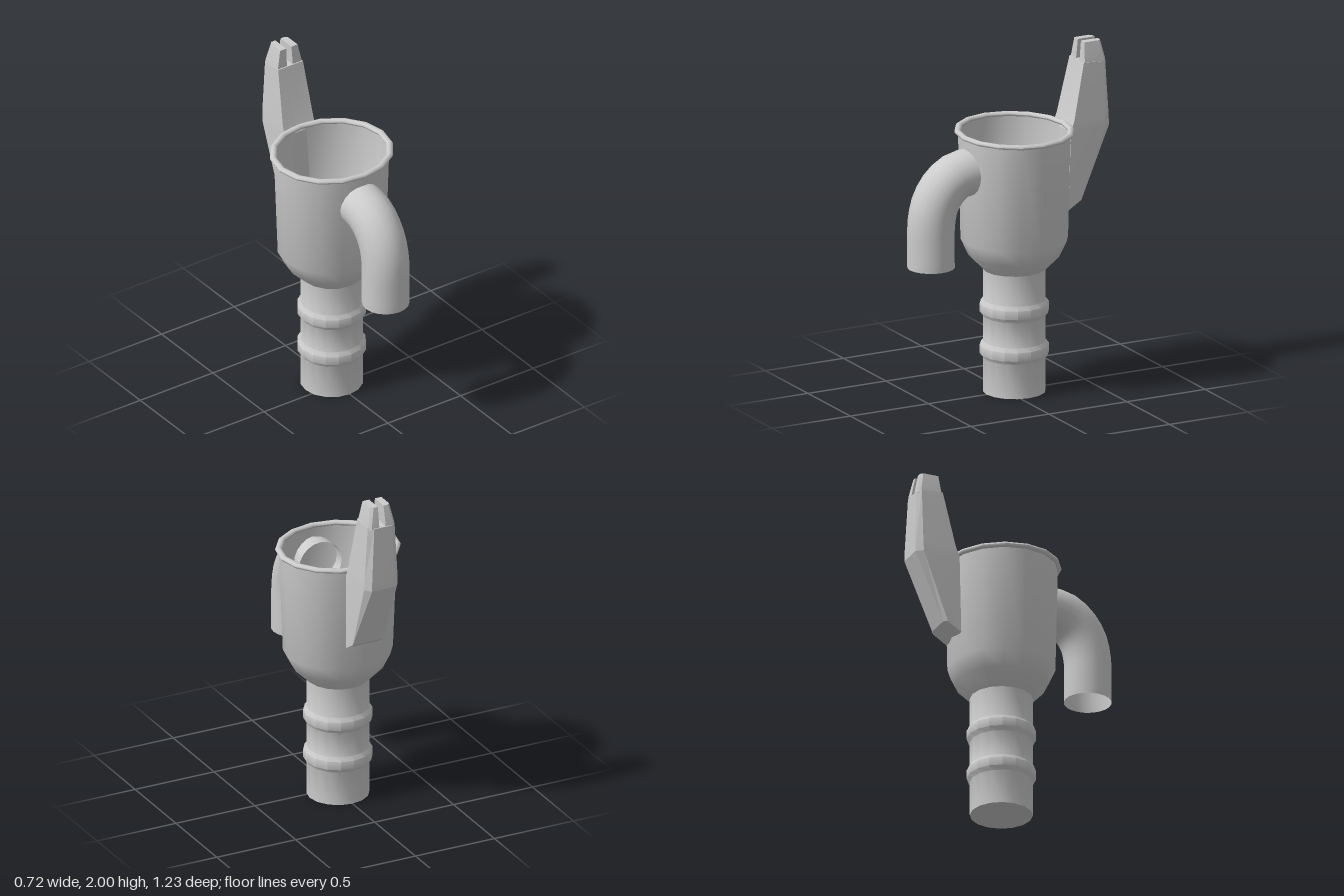
import * as THREE from 'three';
import { toCreasedNormals } from 'three/addons/utils/BufferGeometryUtils.js';

const AXIS_Z = -0.05;
const material = new THREE.MeshStandardMaterial({ color: 0xcccccc, side: THREE.DoubleSide });

function add(group, name, geometry, crease = 0.7) {
  const mesh = new THREE.Mesh(toCreasedNormals(geometry, crease), material);
  mesh.name = name;
  group.add(mesh);
  return mesh;
}

// Closed solid through cross-sections, listed bottom to top, each counter-clockwise seen from above
function loft(rings) {
  const n = rings[0].length;
  const index = [];
  for (let r = 0; r < rings.length - 1; r++) {
    for (let i = 0; i < n; i++) {
      const a = r * n + i, b = r * n + (i + 1) % n;
      index.push(a, b, b + n, a, b + n, a + n);
    }
  }
  const top = (rings.length - 1) * n;
  for (let i = 1; i < n - 1; i++) {
    index.push(0, i + 1, i, top, top + i, top + i + 1);
  }
  const geometry = new THREE.BufferGeometry();
  geometry.setAttribute('position', new THREE.Float32BufferAttribute(rings.flat(2), 3));
  geometry.setIndex(index);
  return geometry;
}

// Turned shape that is round on the stem and slightly oval on the cup
function turned(profile) {
  const geometry = new THREE.LatheGeometry(profile.map(([r, y]) => new THREE.Vector2(r, y)), 16);
  const p = geometry.attributes.position;
  for (let i = 0; i < p.count; i++) {
    const t = THREE.MathUtils.clamp((p.getY(i) - 0.72) / 0.8, 0, 1);
    const squash = 1 - 0.07 * Math.sqrt(t);
    p.setZ(i, p.getZ(i) * squash + AXIS_Z);
  }
  return geometry;
}

// Backplate section: straight front edge, bevelled back edge
function plateRing([yF, zF, yB, zB, w]) {
  const t = 0.85;
  const yM = yF + (yB - yF) * t, zM = zF + (zB - zF) * t;
  return [
    [-w, yF, zF], [w, yF, zF], [w, yM, zM],
    [w - 0.03, yB, zB], [-w + 0.03, yB, zB], [-w, yM, zM],
  ];
}

export function createModel() {
  const model = new THREE.Group();
  model.name = 'spoutedCup';

  // Stem with two raised bands, flaring into the open cup
  const band = (y) => [[0.178, y - 0.048], [0.196, y - 0.025], [0.196, y + 0.025], [0.178, y + 0.048]];
  add(model, 'cupAndStem', turned([
    [0, 0], [0.178, 0], ...band(0.25), ...band(0.495),
    [0.178, 0.72], [0.265, 0.805], [0.313, 0.9], [0.338, 1.53],
  ]));

  // Rolled rim
  const rim = [];
  for (let i = 0; i <= 8; i++) {
    const a = (i / 8) * Math.PI * 2;
    rim.push([0.34 + 0.02 * Math.cos(a), 1.526 + 0.015 * Math.sin(a)]);
  }
  add(model, 'rim', turned(rim), 1);

  // Bent pipe, open at both ends
  const path = new THREE.CatmullRomCurve3([
    [0.8, 0.482], [0.93, 0.482], [1.06, 0.48], [1.17, 0.455], [1.255, 0.4], [1.31, 0.325], [1.325, 0.25], [1.325, 0.17],
  ].map(([y, z]) => new THREE.Vector3(-0.003, y, z)));
  add(model, 'pipe', new THREE.TubeGeometry(path, 14, 0.135, 20, false), 1);

  // Tapered backplate: front y, front z, back y, back z, half width
  add(model, 'backplate', loft([
    [1.04, -0.343, 1.1, -0.44, 0.1],
    [1.5, -0.356, 1.5, -0.615, 0.106],
    [1.56, -0.378, 1.56, -0.614, 0.104],
    [1.89, -0.45, 1.88, -0.602, 0.085],
  ].map(plateRing)), 0.2);

  // Pair of tapered prongs with a slot between them
  for (const side of [-1, 1]) {
    const section = (y, inner, outer, front, back) => {
      const ring = [[inner, y, front], [outer, y, front], [outer, y, back + 0.015], [outer - 0.015, y, back], [inner, y, back]]
        .map(([x, yy, z]) => [x * side, yy, z]);
      return side < 0 ? ring.reverse() : ring;
    };
    add(model, side > 0 ? 'leftProng' : 'rightProng', loft([
      section(1.87, 0.02, 0.083, -0.456, -0.597),
      section(1.9, 0.02, 0.08, -0.458, -0.594),
      section(2.0, 0.018, 0.06, -0.467, -0.574),
    ]), 0.2);
  }

  return model;
}
